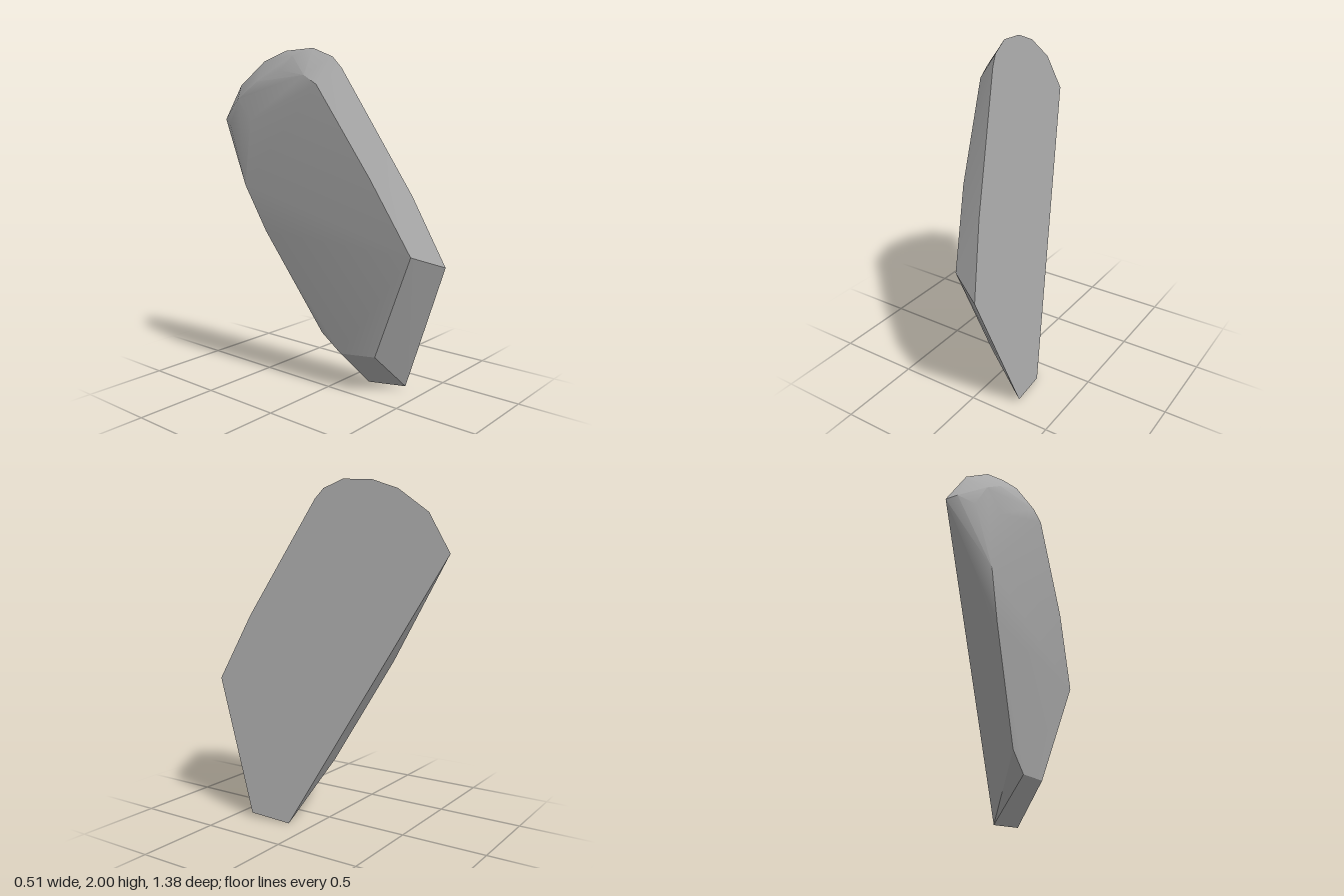
import * as THREE from 'three';
import { ConvexGeometry } from 'three/addons/geometries/ConvexGeometry.js';
import { toCreasedNormals } from 'three/addons/utils/BufferGeometryUtils.js';

// The broad flat face lies on one leaning plane: x follows from y and z.
const onFlatFace = ([z, y]) => new THREE.Vector3(0.2 - 0.153 * y + 0.1435 * z, y, z);

export function createModel() {
  const stone = new THREE.MeshStandardMaterial({ color: 0xaaaaaa });
  stone.name = 'stone grey';

  // Outline of the broad flat face as [z, y]
  const flatFace = [
    [0.39, 0.025], [0.14, 0], [-0.69, 1.575], [-0.55, 1.8], [-0.36, 1.935],
    [-0.2, 1.99], [-0.02, 2], [0.1, 1.95], [0.15, 1.89], [0.52, 1.2], [0.69, 0.81],
  ].map(onFlatFace);

  // Narrower opposite face, bending in towards the rounded top, as [x, y, z]
  const innerFace = [
    // foot and front edge
    [-0.02, 0.24, 0.11], [0.02, 0.255, 0.33], [-0.02, 0.885, 0.59],
    [-0.11, 1.3, 0.38], [-0.2, 1.8, 0.08],
    // back edge
    [-0.046, 0.35, -0.01], [-0.195, 0.95, -0.32], [-0.25, 1.22, -0.43],
    [-0.24, 1.57, -0.56], [-0.19, 1.6, -0.65],
    // rounded top
    [-0.26, 1.6, -0.37], [-0.25, 1.72, -0.48], [-0.23, 1.82, -0.34],
    [-0.21, 1.88, -0.18], [-0.21, 1.85, 0], [-0.17, 1.96, -0.12],
  ].map((p) => new THREE.Vector3(...p));

  const geometry = toCreasedNormals(new ConvexGeometry([...flatFace, ...innerFace]), 0.5);
  const slab = new THREE.Mesh(geometry, stone);
  slab.name = 'stoneSlab';

  const model = new THREE.Group();
  model.name = 'stoneShard';
  model.add(slab);
  return model;
}
